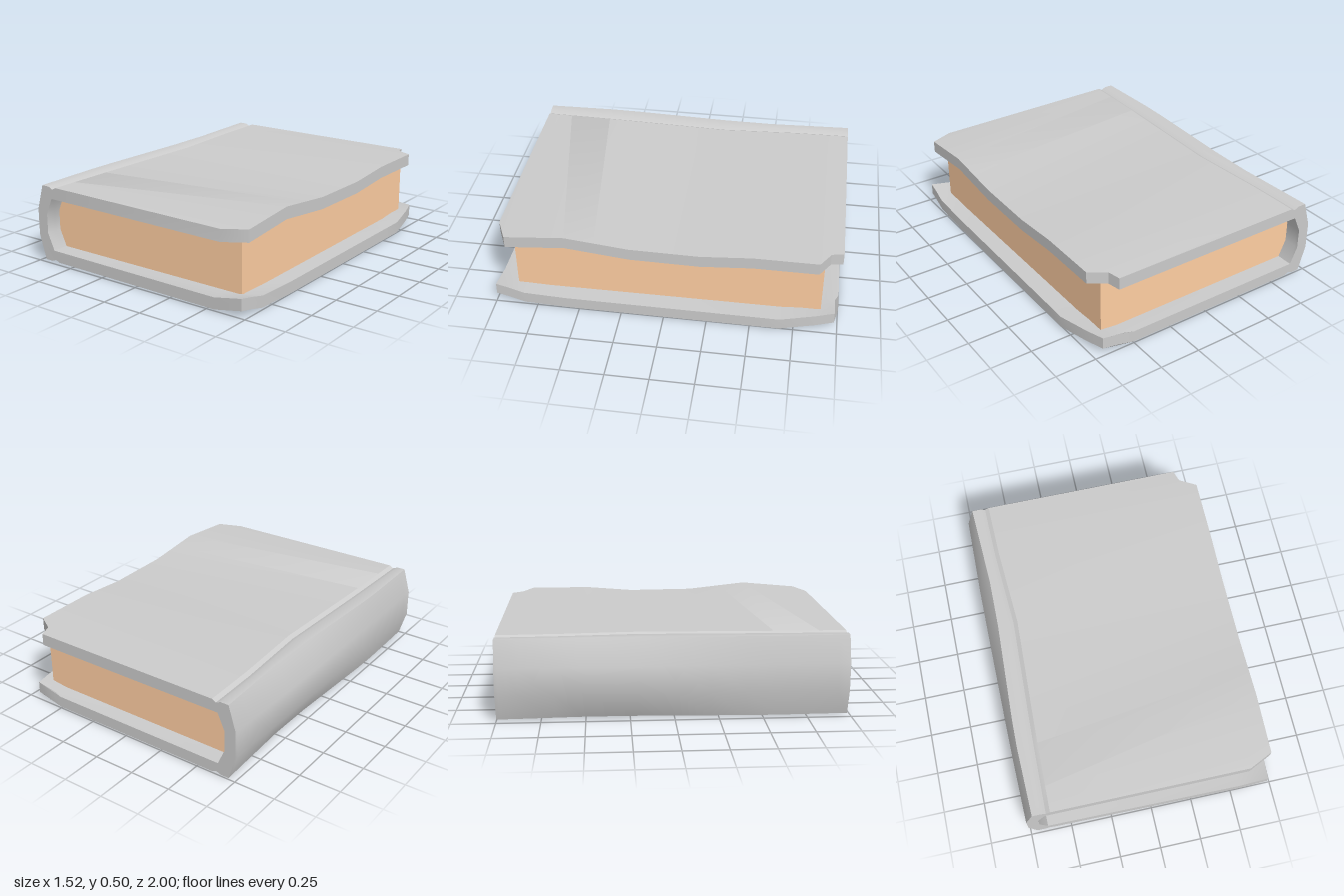
import * as THREE from 'three';
import { toCreasedNormals } from 'three/addons/utils/BufferGeometryUtils.js';

// Piecewise linear lookup through [z, value] pairs
function lerpTable(table, z) {
  for (let i = 1; i < table.length; i++) {
    const [z0, v0] = table[i - 1], [z1, v1] = table[i];
    if (z <= z1) return v0 + (v1 - v0) * Math.max(0, (z - z0) / (z1 - z0));
  }
  return table[table.length - 1][1];
}

const rows = [-1, -0.98, -0.93, -0.87, -0.67, -0.5, -0.2, 0, 0.2, 0.4, 0.57, 0.83, 0.92, 0.985];

// How the worn cover varies along the length of the book
const topEdge = [[-1, 0.6], [-0.93, 0.62], [-0.87, 0.72], [0.92, 0.72], [0.985, 0.58]];
const bottomEdge = [[-1, 0.6], [-0.98, 0.69], [-0.87, 0.72], [-0.67, 0.76], [0.83, 0.745], [0.985, 0.73]];
const topWave = [[-1, 0], [-0.87, 0.01], [-0.5, 0.01], [-0.2, -0.014], [0.2, -0.01], [0.57, 0.03], [0.985, -0.008]];
const bottomCurl = [[-1, 0.025], [-0.67, 0], [0.57, -0.008], [0.83, 0], [0.985, 0.035]];
const grooveX = [[-1, -0.63], [-0.7, -0.625], [-0.2, -0.595], [0.5, -0.62], [0.985, -0.63]];
const shoulderX = [[-1, -0.71], [-0.45, -0.685], [-0.2, -0.69], [0.5, -0.72], [0.985, -0.71]];
const spineX = [[-1, -0.755], [-0.45, -0.765], [0.5, -0.763], [0.985, -0.755]];

// C-shaped outline of the cover at one z, counter-clockwise
function coverSection(z) {
  const xt = lerpTable(topEdge, z), xb = lerpTable(bottomEdge, z);
  const wave = lerpTable(topWave, z), curl = lerpTable(bottomCurl, z);
  const g = lerpTable(grooveX, z), s = lerpTable(shoulderX, z), m = lerpTable(spineX, z);
  const bend = Math.min(0.55, xb - 0.1);
  return [
    [xt, 0.47 + wave], [g + 0.025, 0.472], [g, 0.458], [g - 0.03, 0.472], [s, 0.472],
    [m, 0.32], [m, 0.16], [s, 0.012], [g - 0.03, 0.012], [g, 0.024], [g + 0.025, 0.012],
    [bend, 0.011], [xb, 0.011 + curl], [xb, 0.08 + curl], [bend, 0.08], [-0.64, 0.08],
    [-0.685, 0.18], [-0.685, 0.30], [-0.64, 0.40], [xt, 0.398 + wave],
  ];
}

// Skin the sections along z and close both ends
function coverGeometry() {
  const positions = [], index = [];
  const sections = rows.map(coverSection);
  const n = sections[0].length, last = rows.length - 1;
  sections.forEach((sec, j) => sec.forEach(([x, y], i) => {
    const overhang = j === last && i >= 11 && i <= 14 ? 0.015 : 0;
    positions.push(x, y, rows[j] + overhang);
  }));
  for (let j = 0; j < last; j++) {
    for (let i = 0; i < n; i++) {
      const a = j * n + i, b = j * n + (i + 1) % n;
      index.push(a, b, b + n, a, b + n, a + n);
    }
  }
  const caps = (j) => THREE.ShapeUtils.triangulateShape(
    sections[j].map(([x, y]) => new THREE.Vector2(x, y)), []);
  for (const [a, b, c] of caps(0)) index.push(a, c, b);
  for (const [a, b, c] of caps(last)) index.push(last * n + a, last * n + b, last * n + c);

  const geo = new THREE.BufferGeometry();
  geo.setAttribute('position', new THREE.Float32BufferAttribute(positions, 3));
  geo.setIndex(index);
  return toCreasedNormals(geo, 0.5);
}

export function createModel() {
  const book = new THREE.Group();
  book.name = 'book';

  // Cover: two boards and a rounded spine
  const cover = new THREE.Mesh(coverGeometry(), new THREE.MeshStandardMaterial({ color: 0xcccccc }));
  cover.name = 'cover';
  book.add(cover);

  // Page block, tucked into the cover on three sides
  const outline = [[0.65, 0.06], [0.65, 0.415], [-0.64, 0.415], [-0.69, 0.30], [-0.69, 0.18], [-0.64, 0.06]];
  const shape = new THREE.Shape(outline.map(([x, y]) => new THREE.Vector2(x, y)));
  const pagesGeo = new THREE.ExtrudeGeometry(shape, { depth: 1.785, bevelEnabled: false });
  pagesGeo.translate(0, 0, -0.9);
  const pages = new THREE.Mesh(pagesGeo, new THREE.MeshStandardMaterial({ color: 0xffcea2 }));
  pages.name = 'pages';
  book.add(pages);

  return book;
}
